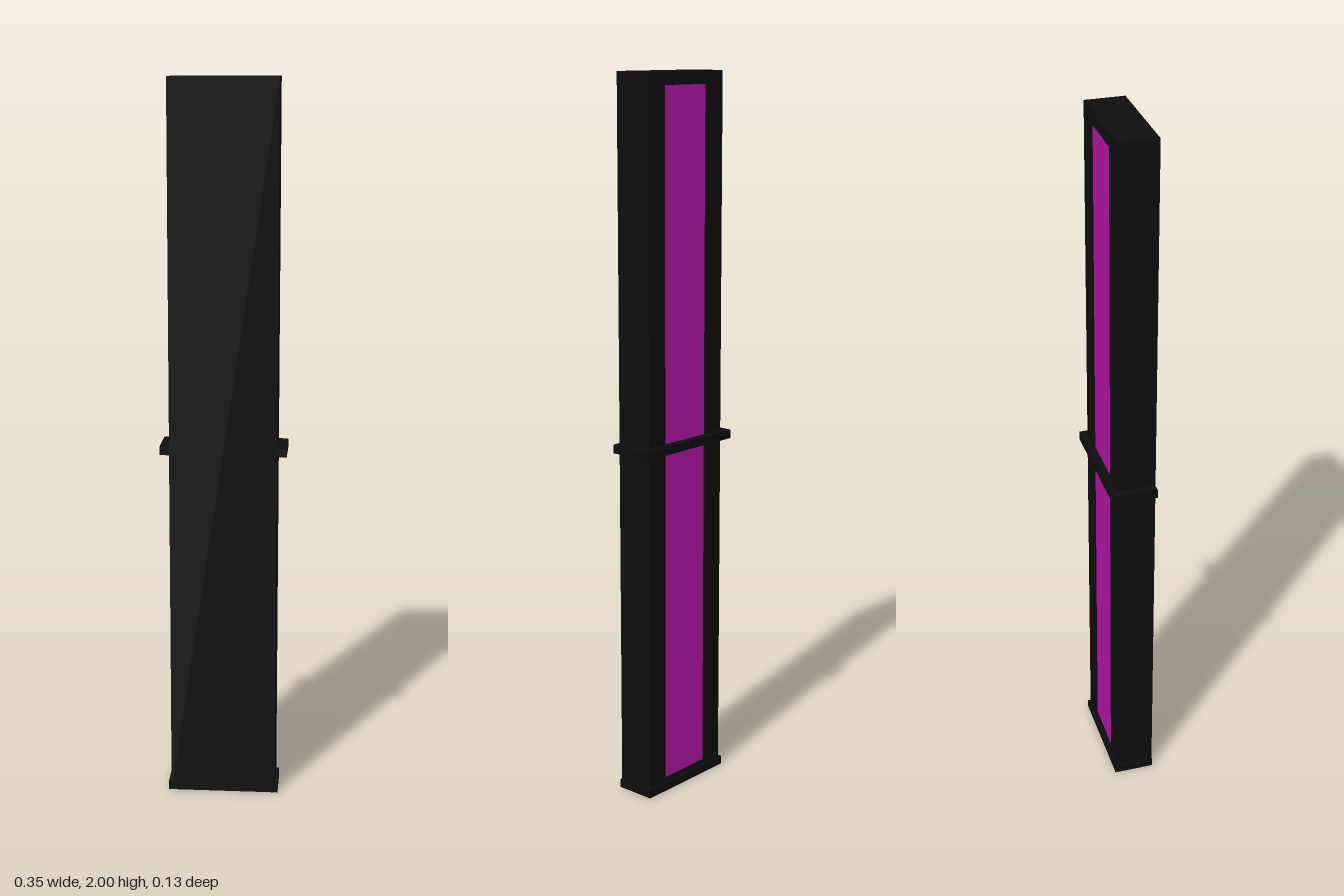
import * as THREE from 'three';

const black = new THREE.MeshStandardMaterial({ color: 0x0d0d0d });
const purple = new THREE.MeshStandardMaterial({ color: 0xb014a4 });

const FRONT = 0.063, BACK = -0.046, RECESS = 0.005;
const HALF_W = 0.148, PANEL_W = 0.083, PANEL_Y0 = 0.035, PANEL_Y1 = 1.965;

// Box given by its half width, y range and z range
function slab(name, halfW, y0, y1, z0, z1, material = black) {
  const mesh = new THREE.Mesh(new THREE.BoxGeometry(2 * halfW, y1 - y0, z1 - z0), material);
  mesh.position.set(0, (y0 + y1) / 2, (z0 + z1) / 2);
  mesh.name = name;
  return mesh;
}

function rectangle(target, halfW, y0, y1) {
  target.moveTo(-halfW, y0);
  target.lineTo(halfW, y0);
  target.lineTo(halfW, y1);
  target.lineTo(-halfW, y1);
  target.closePath();
  return target;
}

export function createModel() {
  const group = new THREE.Group();
  group.name = 'tallPanel';

  // Tall case with a shallow opening in its back
  const outline = rectangle(new THREE.Shape(), HALF_W, 0, 2);
  outline.holes.push(rectangle(new THREE.Path(), PANEL_W, PANEL_Y0, PANEL_Y1));
  const frame = new THREE.Mesh(
    new THREE.ExtrudeGeometry(outline, { depth: FRONT - BACK - 0.01, bevelEnabled: false }), black);
  frame.position.z = BACK;
  frame.name = 'caseFrame';
  group.add(frame);
  group.add(slab('frontPlate', HALF_W, 0, 2, FRONT - 0.01, FRONT));

  // Coloured inlay set into the back
  group.add(slab('backInlay', PANEL_W, PANEL_Y0, PANEL_Y1, BACK + RECESS, BACK + 0.02, purple));

  // Band around the middle and plinth at the foot, both ending at the front face
  group.add(slab('middleBand', 0.174, 0.988, 1.012, -0.063, FRONT - 0.001));
  group.add(slab('footPlinth', 0.156, 0, 0.024, -0.052, FRONT - 0.001));

  return group;
}
